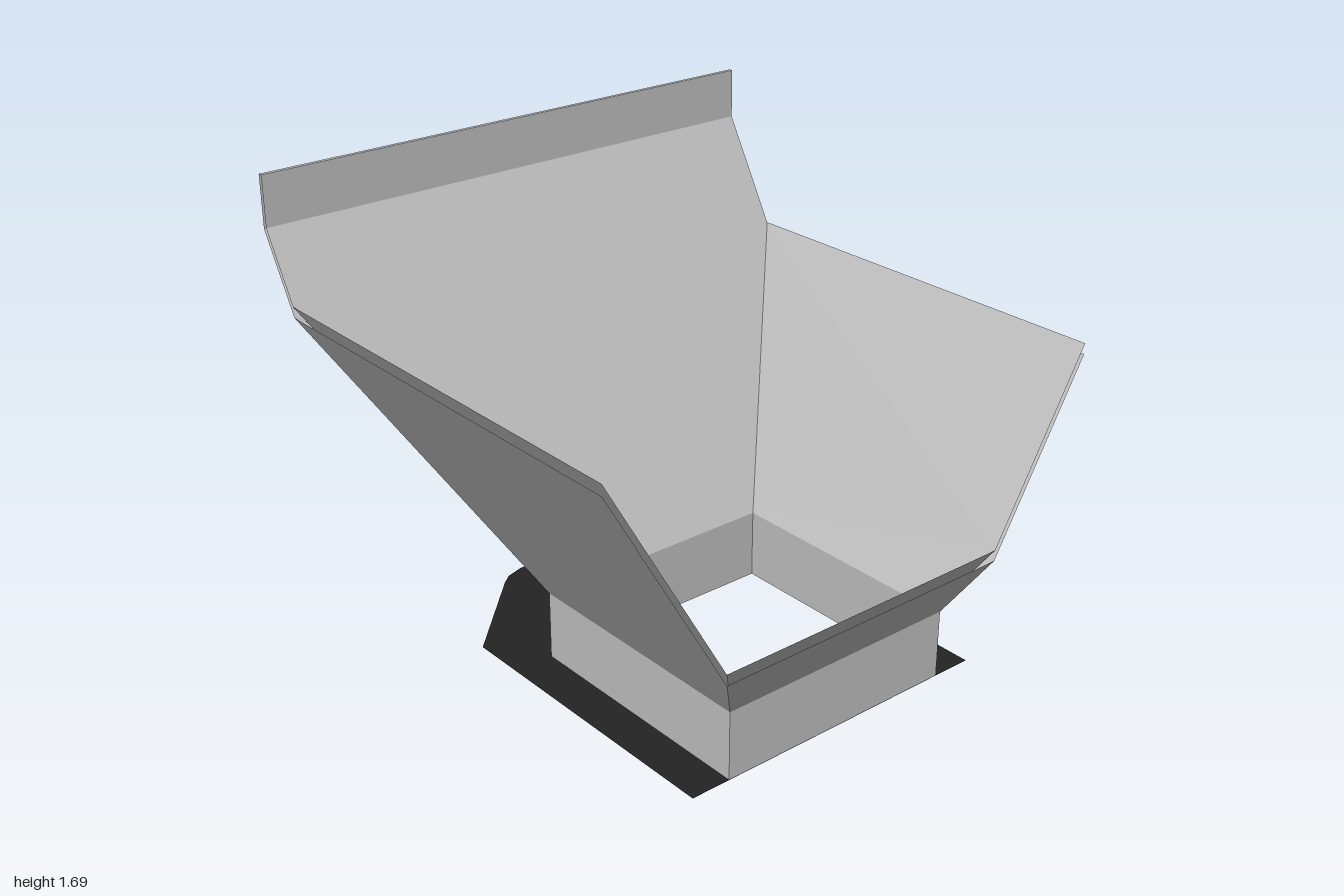
import * as THREE from 'three';

const SLOPE = Math.sqrt(3); // walls lean at 60 degrees
const FRONT = 0.89, TOP = 1.69;

export function createModel() {
  const steel = new THREE.MeshStandardMaterial({ color: 0xc0c0c0, side: THREE.DoubleSide });
  steel.name = 'brushed grey';
  const black = new THREE.MeshStandardMaterial({ color: 0x242424, side: THREE.DoubleSide });
  black.name = 'gasket black';

  const model = new THREE.Group();
  model.name = 'hopper';
  const add = (name, geometry, material, parent = model) => {
    const mesh = new THREE.Mesh(geometry, material);
    mesh.name = name;
    parent.add(mesh);
    return mesh;
  };

  // Flat convex panel from its corners, turned so that it faces along "dir"
  function panel(corners, dir) {
    const p = corners.map((c) => new THREE.Vector3(...c));
    const n = p[1].clone().sub(p[0]).cross(p[2].clone().sub(p[0]));
    if (n.dot(new THREE.Vector3(...dir)) < 0) p.reverse();
    const tris = [];
    for (let i = 1; i < p.length - 1; i++) tris.push(p[0], p[i], p[i + 1]);
    const g = new THREE.BufferGeometry().setFromPoints(tris);
    g.computeVertexNormals();
    return g;
  }

  // One skin of the hopper: square neck, four sloping walls, upright back lip
  function skin(name, l, r, b, f, y0, zb, s) {
    const group = new THREE.Group();
    group.name = name;
    model.add(group);
    const dl = l + 1, dr = 1 - r, df = FRONT - f;
    const yl = y0 + SLOPE * dl, yr = y0 + SLOPE * dr;
    const yf = y0 + SLOPE * df, yb = y0 + SLOPE * (b - zb);
    const put = (part, corners, dir) =>
      add(part, panel(corners, dir.map((d) => d * s)), steel, group);

    // neck
    const ring = [[l, f], [r, f], [r, b], [l, b]];
    const dirs = [[0, 0, 1], [1, 0, 0], [0, 0, -1], [-1, 0, 0]];
    ring.forEach(([x, z], i) => {
      const [x2, z2] = ring[(i + 1) % 4];
      put('neckWall', [[x, 0, z], [x2, 0, z2], [x2, y0, z2], [x, y0, z]], dirs[i]);
    });

    // sloping walls, trimmed at the sides and the front
    put('sideWallRight', [[l, y0, f], [l, y0, b], [-1, yl, b - dl], [-1, yl, FRONT], [l - df, yf, FRONT]], [-1, 0, 0]);
    put('sideWallLeft', [[r, y0, f], [r, y0, b], [1, yr, b - dr], [1, yr, FRONT], [r + df, yf, FRONT]], [1, 0, 0]);
    put('frontWall', [[l, y0, f], [r, y0, f], [r + df, yf, FRONT], [l - df, yf, FRONT]], [0, 0, 1]);
    put('backWall', [[l, y0, b], [r, y0, b], [1, yr, b - dr], [1, yb, zb], [-1, yb, zb], [-1, yl, b - dl]], [0, 0, -1]);
    put('backLip', [[-1, yb, zb], [1, yb, zb], [1, TOP, zb], [-1, TOP, zb]], [0, 0, -1]);
  }
  skin('outerSkin', -0.43, 0.51, -0.168, 0.772, 0.253, -0.89, 1);
  skin('innerSkin', -0.411, 0.491, -0.152, 0.752, 0.258, -0.875, -1);

  // closed top edge of the back lip
  add('lipEdge', panel([[-1, TOP, -0.875], [1, TOP, -0.875], [1, TOP, -0.89], [-1, TOP, -0.89]], [0, 1, 0]), steel);

  // horizontal sheet with a rectangular opening; shape y is -z
  const rect = (l, r, b, f) => [[l, f], [r, f], [r, b], [l, b]].map(([x, z]) => new THREE.Vector2(x, -z));
  function sheet(outline, opening) {
    const shape = new THREE.Shape(outline);
    shape.holes.push(new THREE.Path(opening));
    return new THREE.ShapeGeometry(shape).rotateX(-Math.PI / 2);
  }
  const neckOuter = rect(-0.43, 0.51, -0.168, 0.772);
  add('neckRim', sheet(neckOuter, rect(-0.411, 0.491, -0.152, 0.752)), steel);

  // base plate, symmetric about x = 0.04, with a clipped rear
  const half = [[0.62, 0.773], [0.62, -0.37], [0.3, -0.69], [0.26, -0.722], [0.19, -0.742]];
  const outline = [...half, ...half.map(([x, z]) => [-x, z]).reverse()];
  add('basePlate', sheet(outline.map(([x, z]) => new THREE.Vector2(0.04 + x, -z)), neckOuter), black);

  // round knob with a chamfered top behind the neck
  const knob = new THREE.Group();
  knob.name = 'knob';
  knob.position.set(0.04, 0, -0.48);
  model.add(knob);
  add('knobBody', new THREE.CylinderGeometry(0.155, 0.155, 0.28, 48, 1, true), steel, knob).position.y = 0.142;
  add('knobChamfer', new THREE.CylinderGeometry(0.125, 0.155, 0.035, 48, 1, true), steel, knob).position.y = 0.2995;
  add('knobTop', new THREE.CircleGeometry(0.125, 48).rotateX(-Math.PI / 2), steel, knob).position.y = 0.317;

  return model;
}
